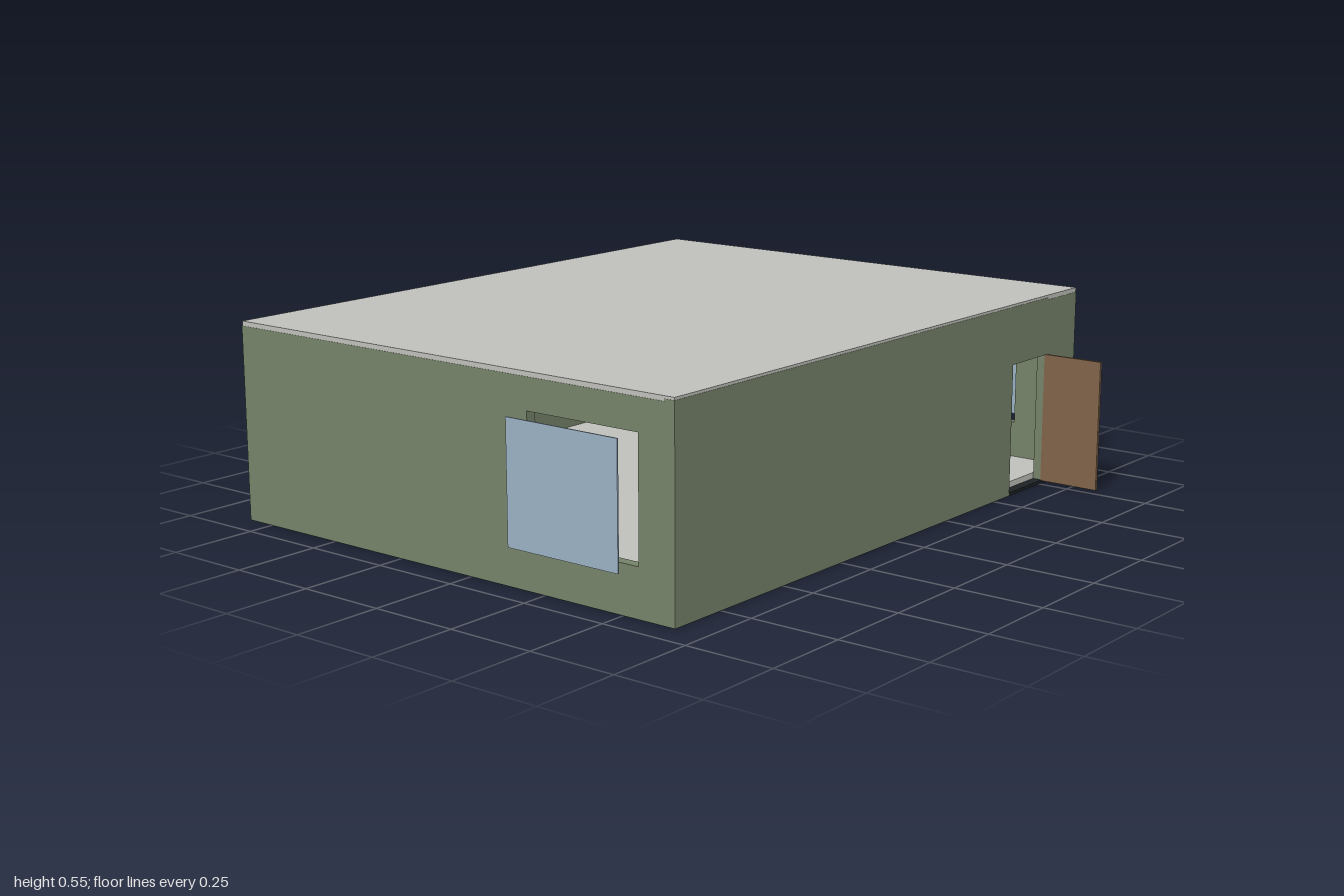
import * as THREE from 'three';

const makeMaterial = (name, color) => {
  const m = new THREE.MeshStandardMaterial({ color });
  m.name = name;
  return m;
};

export function createModel() {
  const model = new THREE.Group();
  model.name = 'house';
  const green = makeMaterial('wall green', 0x76836a);
  const grey = makeMaterial('roof grey', 0xbfbfbb);
  const black = makeMaterial('foundation black', 0x1d2224);
  const brown = makeMaterial('door brown', 0x80634a);
  const glass = makeMaterial('window blue', 0x9ab0c2);

  // House extents
  const X = 0.925, BACK = -0.835, FRONT = 0.66, T = 0.03;
  const LOW = 0.54, HIGH = 0.546, SILL = 0.13, HEAD = 0.455;

  const add = (name, geometry, material, x, y, z) => {
    const mesh = new THREE.Mesh(geometry, material);
    mesh.name = name;
    mesh.position.set(x, y, z);
    model.add(mesh);
    return mesh;
  };

  // Box given by its lower and upper corners
  const box = (name, material, [x0, y0, z0], [x1, y1, z1]) =>
    add(name, new THREE.BoxGeometry(x1 - x0, y1 - y0, z1 - z0), material,
      (x0 + x1) / 2, (y0 + y1) / 2, (z0 + z1) / 2);

  // Wall outline with rectangular window holes, thickened
  const wallGeometry = (outline, windows = []) => {
    const shape = new THREE.Shape(outline.map(([u, v]) => new THREE.Vector2(u, v)));
    for (const [a, b] of windows) {
      shape.holes.push(new THREE.Path([
        new THREE.Vector2(a, SILL), new THREE.Vector2(a, HEAD),
        new THREE.Vector2(b, HEAD), new THREE.Vector2(b, SILL),
      ]));
    }
    return new THREE.ExtrudeGeometry(shape, { depth: T, bevelEnabled: false });
  };

  // Front wall with the doorway, its top stepped at the hinge side
  add('frontWall', wallGeometry([
    [-X, 0], [0.58, 0], [0.58, 0.38], [0.765, 0.38], [0.765, 0.008], [0.89, 0.008],
    [0.89, 0], [X, 0], [X, LOW], [0.765, LOW], [0.765, HIGH], [-X, HIGH],
  ]), green, 0, 0, FRONT - T);
  add('backWall', wallGeometry([[-X, 0], [X, 0], [X, LOW], [-X, LOW]]), green, 0, 0, BACK);

  // Side walls: u runs along -z
  const u0 = -FRONT + T, u1 = -BACK - T;
  const leftWindows = [[-0.485, -0.17], [-0.13, 0.19]];
  const rightWindows = [[-0.55, -0.2]];
  add('leftWall', wallGeometry([
    [u0, 0], [0.155, 0], [0.155, 0.008], [0.8, 0.008], [0.8, 0], [u1, 0],
    [u1, LOW], [0.155, LOW], [0.155, HIGH], [u0, HIGH],
  ], leftWindows), green, X - T, 0, 0).rotation.y = Math.PI / 2;
  add('rightWall', wallGeometry([[u0, 0], [u1, 0], [u1, LOW], [u0, LOW]], rightWindows),
    green, -X, 0, 0).rotation.y = Math.PI / 2;

  // Window panes standing just off the walls
  const panes = (windows, side) => windows.forEach(([a, b]) => {
    const inner = side * 0.996, outer = side;
    box('windowPane', glass,
      [Math.min(inner, outer), SILL, -b], [Math.max(inner, outer), HEAD, -a]);
  });
  panes(leftWindows, 1);
  panes(rightWindows, -1);

  // Roof slab, foundation and inner floor
  const e = 0.001;
  box('roof', grey, [-X + e, LOW, BACK + e], [X - e, 0.553, FRONT - e]);
  box('foundation', black, [-X + e, -0.001, BACK + e], [X - e, 0.008, FRONT - e]);
  box('floor', grey, [-X + T, 0.008, BACK + T], [X - T, 0.026, FRONT - T]);

  // Open door with its knob
  box('door', brown, [0.763, 0.006, FRONT - 0.005], [0.772, 0.38, 0.835]);
  add('doorKnob', new THREE.CylinderGeometry(0.005, 0.005, 0.012, 12), brown,
    0.777, 0.19, 0.82).rotation.z = Math.PI / 2;

  return model;
}
